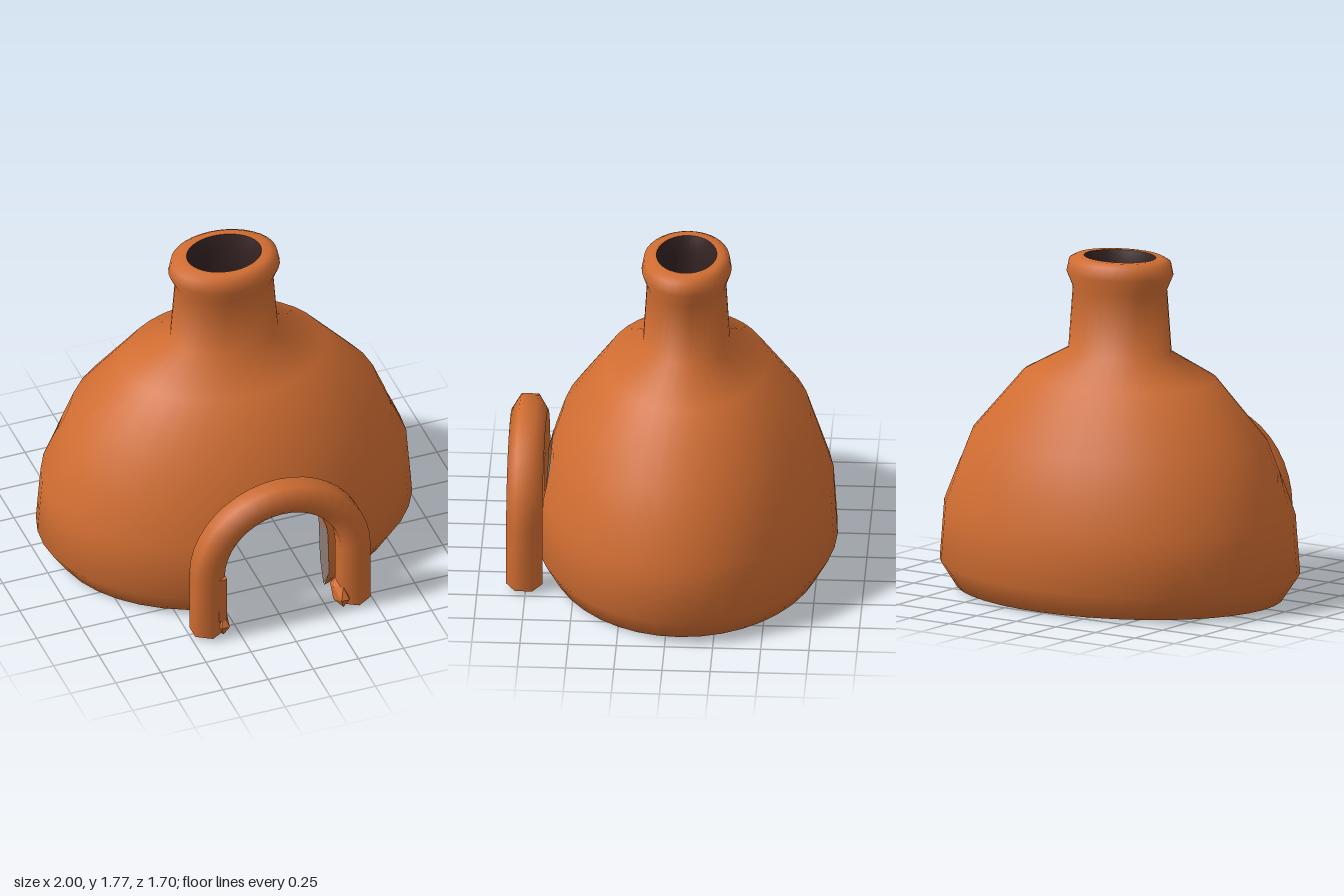
import * as THREE from 'three';
import { mergeVertices, toCreasedNormals } from 'three/addons/utils/BufferGeometryUtils.js';

const DEPTH = 0.785, CENTRE_Z = -0.064;      // the dome is an ellipse in plan
const DOOR = { half: 0.3, spring: 0.365 };   // round-headed doorway
const SEGMENTS = 36;

const doorHalf = (y) => y <= DOOR.spring ? DOOR.half
  : Math.sqrt(Math.max(0, DOOR.half ** 2 - (y - DOOR.spring) ** 2));

// heights of the rows that follow the curve of the door head
const headRows = Array.from({ length: 13 }, (_, k) =>
  DOOR.spring + DOOR.half * Math.sin((k / 12) * Math.PI / 2));

// outside, bottom to top; inside, top to bottom: [radius, height]
const OUTER = [[0.9, 0.01], [0.91, 0.01], [1, 0.14], [0.975, 0.45], [0.822, 0.825], [0.54, 1.145],
  [0.287, 1.28], [0.262, 1.61], [0.297, 1.69], [0.283, 1.755], [0.245, 1.775], [0.2, 1.775]];
const INNER = [[0.2, 1.775], [0.165, 1.7], [0.165, 1.22], [0.43, 1.05], [0.68, 0.77],
  [0.81, 0.45], [0.84, 0.14], [0.9, 0.01]];

function radiusAt(profile, y) {
  for (let i = 0; i + 1 < profile.length; i++) {
    const [r0, y0] = profile[i], [r1, y1] = profile[i + 1];
    if (y >= Math.min(y0, y1) && y <= Math.max(y0, y1)) {
      return y0 === y1 ? r0 : r0 + (r1 - r0) * (y - y0) / (y1 - y0);
    }
  }
  return 0;
}

// joins rows of equal length into a surface
function gridIndex(rows, columns) {
  const index = [];
  for (let j = 0; j + 1 < rows; j++) {
    for (let i = 0; i + 1 < columns; i++) {
      const a = j * columns + i, b = a + 1, c = b + columns, d = a + columns;
      index.push(a, b, c, a, c, d);
    }
  }
  return index;
}

function geometryFrom(positions, index) {
  const geo = new THREE.BufferGeometry();
  geo.setAttribute('position', new THREE.Float32BufferAttribute(positions, 3));
  geo.setIndex(index);
  return geo;
}

// elliptical turned shell whose rows stop at the sides of the doorway
function shell(profile) {
  const slopes = profile.slice(1).map(([r, y], i) =>
    new THREE.Vector2(y - profile[i][1], profile[i][0] - r).normalize());
  const normals = profile.map((_, i) => {
    const a = slopes[Math.max(0, i - 1)], b = slopes[Math.min(i, slopes.length - 1)];
    return a.clone().add(b).normalize();
  });
  const rows = [];
  profile.forEach(([r, y], i) => {
    rows.push({ r, y, n: normals[i] });
    if (i + 1 === profile.length) return;
    const [r1, y1] = profile[i + 1];
    headRows.map((h) => (h - y) / (y1 - y)).filter((t) => t > 0.001 && t < 0.999)
      .sort((a, b) => a - b)
      .forEach((t) => rows.push({
        r: r + (r1 - r) * t, y: y + (y1 - y) * t, n: normals[i].clone().lerp(normals[i + 1], t),
      }));
  });
  const positions = [], normalData = [], v = new THREE.Vector3();
  for (const { r, y, n } of rows) {
    const start = Math.asin(Math.min(1, doorHalf(y) / r));
    for (let i = 0; i <= SEGMENTS; i++) {
      const a = start + (i / SEGMENTS) * (2 * Math.PI - 2 * start);
      positions.push(r * Math.sin(a), y, r * DEPTH * Math.cos(a) + CENTRE_Z);
      v.set(n.x * Math.sin(a), n.y, n.x * Math.cos(a) / DEPTH).normalize();
      normalData.push(v.x, v.y, v.z);
    }
  }
  const geo = geometryFrom(positions, gridIndex(rows.length, SEGMENTS + 1));
  geo.setAttribute('normal', new THREE.Float32BufferAttribute(normalData, 3));
  return geo;
}

// wall thickness seen in the doorway, with patches of bare mortar
function doorReveal() {
  const heights = [0.01, 0.14, ...headRows];
  const edge = (profile, x, y) => {
    const r = radiusAt(profile, y);
    return [x, y, DEPTH * Math.sqrt(Math.max(0, r * r - x * x)) + CENTRE_Z];
  };
  const path = [...heights.map((y) => [-doorHalf(y), y]),
    ...heights.slice(0, -1).reverse().map((y) => [doorHalf(y), y])];
  const positions = path.flatMap(([x, y]) => [...edge(OUTER, x, y), ...edge(INNER, x, y)]);
  const geo = geometryFrom(positions, gridIndex(path.length, 2));
  for (let j = 0; j + 1 < path.length; j++) {
    const fromEnd = Math.min(j, path.length - 2 - j);
    geo.addGroup(j * 6, 6, fromEnd < 3 || fromEnd % 2 === 0 ? 1 : 0);
  }
  geo.computeVertexNormals();
  return geo;
}

// six-sided bead swept up one leg, around the head and down the other leg
function archGeometry() {
  const section = [[0.485, 0.045], [0.485, -0.045], [0.405, -0.094], [0.322, -0.045],
    [0.322, 0.045], [0.405, 0.094], [0.485, 0.045]];
  const cap = section.map(() => [0.405, 0]);
  const rows = [[0, 0.02, cap], [0, 0.02, section]];
  for (let k = 0; k <= 20; k++) rows.push([Math.PI * k / 20, 0.37, section]);
  rows.push([Math.PI, 0.02, section], [Math.PI, 0.02, cap]);
  const positions = rows.flatMap(([a, y, ring]) => ring.flatMap(([r, z]) =>
    [r * Math.cos(a), y + r * Math.sin(a), z + 0.758]));
  const geo = mergeVertices(geometryFrom(positions, gridIndex(rows.length, section.length)));
  return toCreasedNormals(geo, 1.2);
}

export function createModel() {
  const clay = new THREE.MeshStandardMaterial({ color: 0xd06d32 });
  const soot = new THREE.MeshStandardMaterial({ color: 0x332122 });
  const mortar = new THREE.MeshStandardMaterial({ color: 0x8a7a72 });
  clay.name = 'terracotta';
  soot.name = 'sooty interior';
  mortar.name = 'grey mortar';

  const model = new THREE.Group();
  model.name = 'clayOven';
  const add = (name, geometry, material) => {
    const mesh = new THREE.Mesh(geometry, material);
    mesh.name = name;
    model.add(mesh);
    return mesh;
  };

  add('domeAndChimney', shell(OUTER), clay);
  add('interior', shell(INNER), soot);
  add('doorReveal', doorReveal(), [clay, mortar]);
  add('doorArch', archGeometry(), clay);

  // small faceted lumps at the foot of each leg
  for (const side of [-1, 1]) {
    const foot = new THREE.IcosahedronGeometry(1 / 0.8507, 0);
    foot.rotateY(Math.PI / 2).scale(0.036, 0.065, 0.085);
    foot.computeVertexNormals();
    add(side < 0 ? 'rightFoot' : 'leftFoot', foot, clay).position.set(side * 0.332, 0.065, 0.758);
  }

  // stepped patch on the inner edge of the right leg
  add('legPatch', new THREE.BoxGeometry(0.072, 0.27, 0.14), clay).position.set(-0.354, 0.235, 0.758);
  return model;
}
